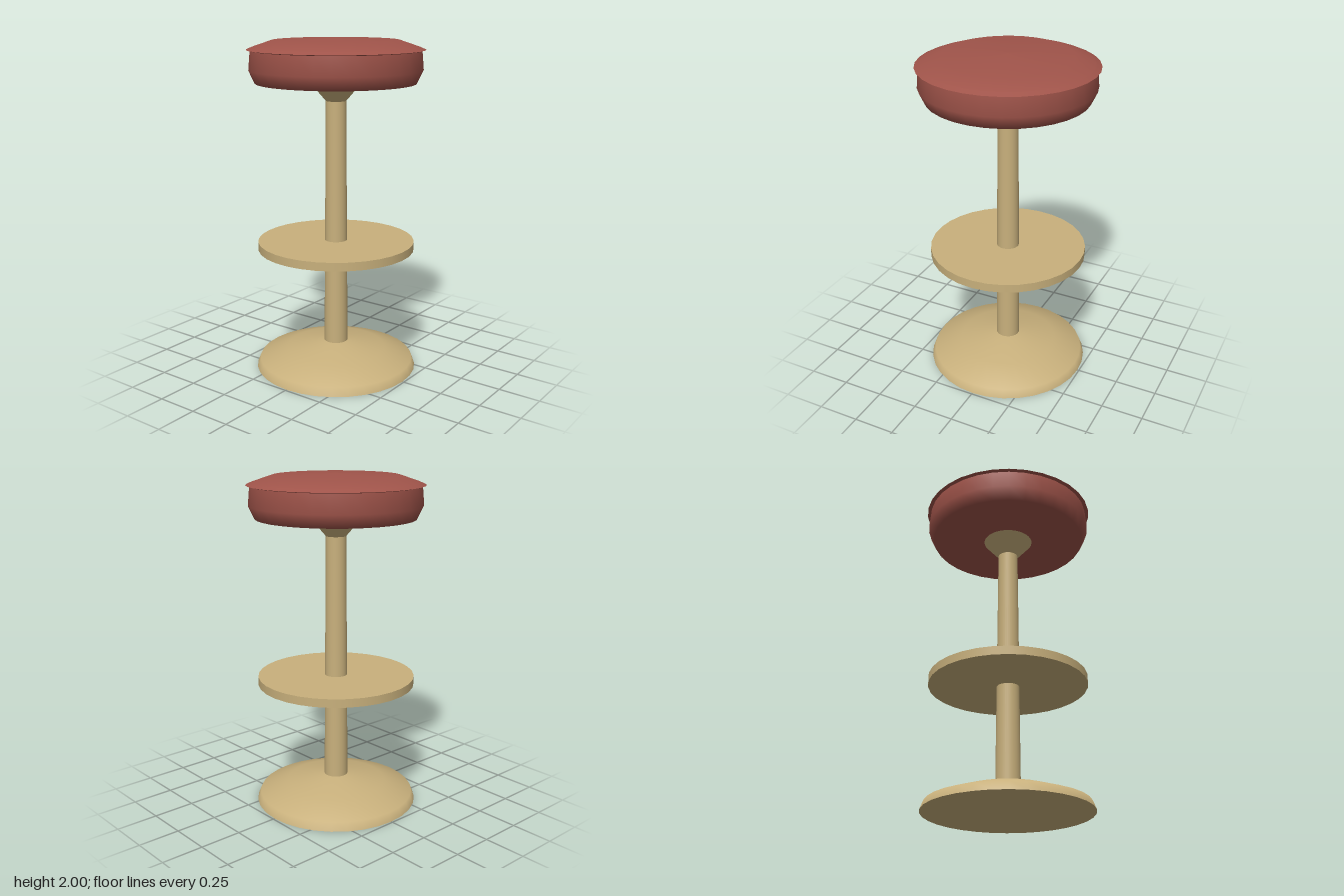
import * as THREE from 'three';

const METAL = 0xc8b07c;
const LEATHER = 0xa0544a;

// Revolve a [radius, height] profile, listed from the bottom axis outward and up.
// A repeated point makes a sharp edge.
function turned(name, profile, color) {
  const points = profile.map(([r, y]) => new THREE.Vector2(r, y));
  const mesh = new THREE.Mesh(
    new THREE.LatheGeometry(points, 32),
    new THREE.MeshStandardMaterial({ color, side: THREE.DoubleSide })
  );
  mesh.name = name;
  return mesh;
}

export function createModel() {
  const stool = new THREE.Group();
  stool.name = 'barStool';

  // Domed foot
  stool.add(turned('base', [
    [0, 0], [0.49, 0], [0.49, 0], [0.47, 0.05], [0.3, 0.11], [0.07, 0.155], [0, 0.16],
  ], METAL));

  // Tapering post, flaring into a support under the seat
  stool.add(turned('post', [
    [0.072, 0.14], [0.06, 1.64], [0.06, 1.64], [0.15, 1.745], [0.15, 1.745], [0, 1.75],
  ], METAL));

  // Flat round footrest
  stool.add(turned('footrest', [
    [0, 0.75], [0.47, 0.75], [0.47, 0.75], [0.47, 0.8], [0.47, 0.8], [0, 0.8],
  ], METAL));

  // Padded cushion with a thin lip around its upper edge
  stool.add(turned('seat', [
    [0, 1.745], [0.47, 1.745], [0.505, 1.82], [0.495, 1.93], [0.495, 1.93],
    [0.517, 1.935], [0.517, 1.935], [0.485, 1.949], [0.485, 1.949],
    [0.37, 1.988], [0, 2],
  ], LEATHER));

  return stool;
}
